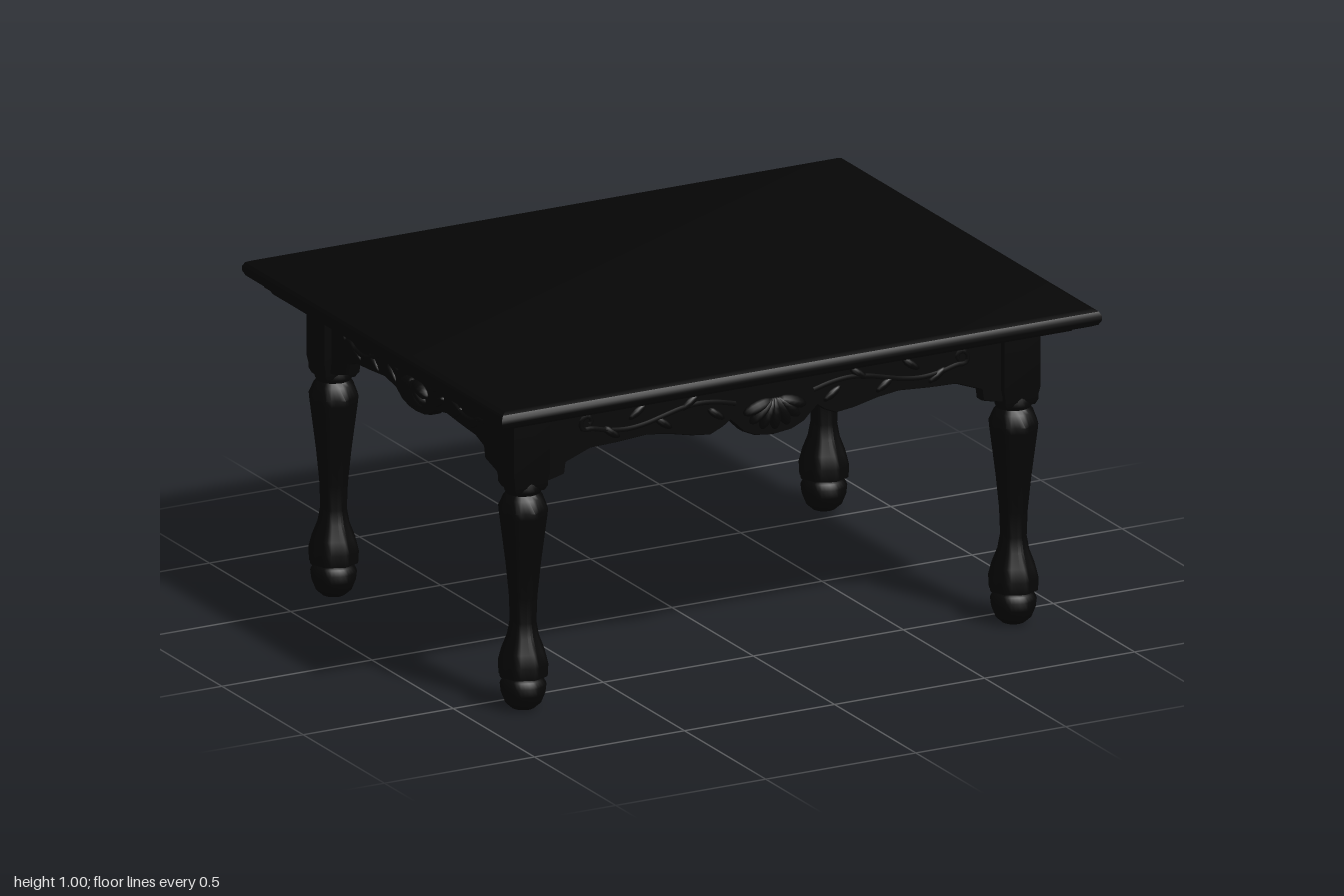
import * as THREE from 'three';
import { mergeVertices, toCreasedNormals } from 'three/addons/utils/BufferGeometryUtils.js';

const wood = new THREE.MeshStandardMaterial({ color: 0x060606 });
const LEG_X = 0.817, FRONT_LEG_Z = 0.592, BACK_LEG_Z = -0.574;

function add(parent, name, geometry) {
  const mesh = new THREE.Mesh(geometry, wood);
  mesh.name = name;
  parent.add(mesh);
  return mesh;
}

// Skin through rectangular sections [halfX, halfZ, y]; capped for a solid, uncapped for a frame
function rectLoft(sections, capped = true) {
  const pos = [], index = [];
  for (const [x, z, y] of sections) pos.push(-x, y, z, x, y, z, x, y, -z, -x, y, -z);
  for (let s = 0; s < sections.length - 1; s++) {
    for (let i = 0; i < 4; i++) {
      const a = s * 4 + i, b = s * 4 + (i + 1) % 4;
      index.push(a, b, b + 4, a, b + 4, a + 4);
    }
  }
  const t = (sections.length - 1) * 4;
  if (capped) index.push(0, 2, 1, 0, 3, 2, t, t + 1, t + 2, t, t + 2, t + 3);
  const g = new THREE.BufferGeometry();
  g.setAttribute('position', new THREE.Float32BufferAttribute(pos, 3));
  g.setIndex(index);
  return toCreasedNormals(g, 0.6);
}

// Turned leg, fluted along its taper and lobed at the foot
function turnedLeg() {
  const profile = [
    [0, 0.008], [0.034, 0.012], [0.054, 0.03], [0.066, 0.06], [0.069, 0.085], [0.06, 0.102],
    [0.05, 0.108], [0.072, 0.114], [0.074, 0.15], [0.064, 0.19], [0.047, 0.235], [0.039, 0.28],
    [0.042, 0.36], [0.052, 0.46], [0.062, 0.54], [0.071, 0.61], [0.073, 0.63], [0.06, 0.665],
    [0.05, 0.678], [0.056, 0.688], [0.056, 0.7], [0.05, 0.72]
  ].map(([r, y]) => new THREE.Vector2(r, y));
  const g = new THREE.LatheGeometry(profile, 32);
  const p = g.attributes.position;
  for (let i = 0; i < p.count; i++) {
    const x = p.getX(i), y = p.getY(i), z = p.getZ(i);
    const carved = (y > 0.11 && y < 0.65) ? 0.045 : 0.015;
    const k = 1 + carved * Math.cos(8 * Math.atan2(z, x));
    p.setXYZ(i, x * k, y, z * k);
  }
  g.deleteAttribute('normal');
  g.deleteAttribute('uv');
  return toCreasedNormals(mergeVertices(g, 1e-5), 0.7);
}

// Apron board with a scalloped lower edge, outer face at z = 0
function apronBoard(halfWidth, edge) {
  const shape = new THREE.Shape();
  shape.moveTo(-halfWidth, 0.945);
  const full = [...edge.map(([x, y]) => [-x, y]), ...edge.slice(0, -1).reverse()];
  full.forEach(([x, y]) => shape.lineTo(x, y));
  shape.lineTo(halfWidth, 0.945);
  const g = new THREE.ExtrudeGeometry(shape, {
    depth: 0.03, bevelEnabled: true, bevelThickness: 0.008, bevelSize: 0.004, bevelSegments: 1
  });
  return g.translate(0, 0, -0.038);
}

// Carved scroll: an S-curve ending in a small spiral
function scroll(length, dir) {
  const pts = [];
  for (let i = 0; i <= 8; i++) {
    const t = i / 8;
    pts.push(new THREE.Vector3(dir * length * t, 0.02 * Math.sin(t * Math.PI * 2), 0));
  }
  for (let i = 1; i <= 9; i++) {
    const a = -Math.PI / 2 + i * 0.62, r = 0.028 - i * 0.002;
    pts.push(new THREE.Vector3(dir * (length + 0.012 + Math.cos(a) * r), 0.022 + Math.sin(a) * r, 0));
  }
  return new THREE.TubeGeometry(new THREE.CatmullRomCurve3(pts), 48, 0.008, 6);
}

function makeApron(name, halfWidth, edge, shellY, shellW, shellH, scrollLength) {
  const apron = new THREE.Group();
  apron.name = name;
  add(apron, 'apronBoard', apronBoard(halfWidth, edge));
  // Fan shell at the centre
  for (let i = -3; i <= 3; i++) {
    const a = i * 0.42;
    const lobe = add(apron, 'shellLobe', new THREE.SphereGeometry(1, 10, 8));
    lobe.scale.set(0.02, shellH * 0.5, 0.02);
    lobe.rotation.z = a;
    lobe.position.set(Math.sin(a) * shellW * 0.6, shellY - Math.cos(a) * shellH * 0.4, 0.004);
  }
  // Scrolls and leaves running out to both legs
  for (const dir of [-1, 1]) {
    const vine = add(apron, 'carvedScroll', scroll(scrollLength, dir));
    vine.position.set(dir * (shellW + 0.03), 0.85, 0);
    for (let i = 0; i < 5; i++) {
      const leaf = add(apron, 'carvedLeaf', new THREE.SphereGeometry(1, 8, 6));
      leaf.scale.set(0.035, 0.013, 0.01);
      leaf.rotation.z = dir * (i % 2 ? -0.6 : 0.6);
      leaf.position.set(dir * (shellW + 0.05 + scrollLength * (i + 0.5) / 5.5), 0.85 + (i % 2 ? 0.027 : -0.022), 0);
    }
  }
  return apron;
}

export function createModel() {
  const table = new THREE.Group();
  table.name = 'table';

  // Top with a rounded edge
  add(table, 'tableTop', rectLoft([
    [0.975, 0.775, 0.952], [0.992, 0.792, 0.96], [1, 0.8, 0.975],
    [1, 0.8, 0.988], [0.993, 0.793, 1.001], [0.978, 0.778, 1.008]
  ]));

  // Stepped moulding frame below the top, open in the middle
  add(table, 'topMoulding', rectLoft([
    [0.82, 0.575, 0.954], [0.82, 0.575, 0.905],
    [0.885, 0.65, 0.905], [0.905, 0.685, 0.915], [0.95, 0.705, 0.922],
    [0.955, 0.712, 0.935], [0.968, 0.722, 0.94], [0.97, 0.724, 0.956]
  ], false));

  // Legs with square corner blocks
  const legGeometry = turnedLeg();
  const blockGeometry = rectLoft([
    [0.047, 0.047, 0.69], [0.055, 0.052, 0.705], [0.055, 0.052, 0.72],
    [0.06, 0.056, 0.745], [0.06, 0.056, 0.953]
  ]);
  for (const sx of [-1, 1]) {
    for (const z of [BACK_LEG_Z, FRONT_LEG_Z]) {
      const leg = new THREE.Group();
      leg.name = (z > 0 ? 'front' : 'back') + (sx > 0 ? 'Left' : 'Right') + 'Leg';
      add(leg, 'turnedPost', legGeometry);
      add(leg, 'cornerBlock', blockGeometry);
      leg.position.set(sx * LEG_X, 0, z);
      table.add(leg);
    }
  }

  // Half outlines of the scalloped edges, from leg to centre
  const longEdge = [
    [0.79, 0.705], [0.74, 0.715], [0.7, 0.725], [0.695, 0.76], [0.61, 0.792], [0.52, 0.795],
    [0.42, 0.802], [0.35, 0.793], [0.27, 0.775], [0.21, 0.768], [0.17, 0.785], [0.145, 0.803],
    [0.125, 0.785], [0.1, 0.76], [0.06, 0.742], [0, 0.735]
  ];
  const shortEdge = [
    [0.56, 0.705], [0.5, 0.72], [0.43, 0.74], [0.422, 0.775], [0.37, 0.793], [0.29, 0.798],
    [0.19, 0.807], [0.12, 0.795], [0.08, 0.77], [0.04, 0.76], [0, 0.757]
  ];
  for (const s of [1, -1]) {
    const long = makeApron(s > 0 ? 'frontApron' : 'backApron', 0.79, longEdge, 0.84, 0.1, 0.1, 0.48);
    long.position.z = s > 0 ? FRONT_LEG_Z + 0.036 : BACK_LEG_Z - 0.036;
    long.rotation.y = s > 0 ? 0 : Math.PI;
    const short = makeApron(s > 0 ? 'leftApron' : 'rightApron', 0.56, shortEdge, 0.845, 0.07, 0.085, 0.3);
    short.position.x = s * 0.855;
    short.rotation.y = s * Math.PI / 2;
    table.add(long, short);
  }
  return table;
}
